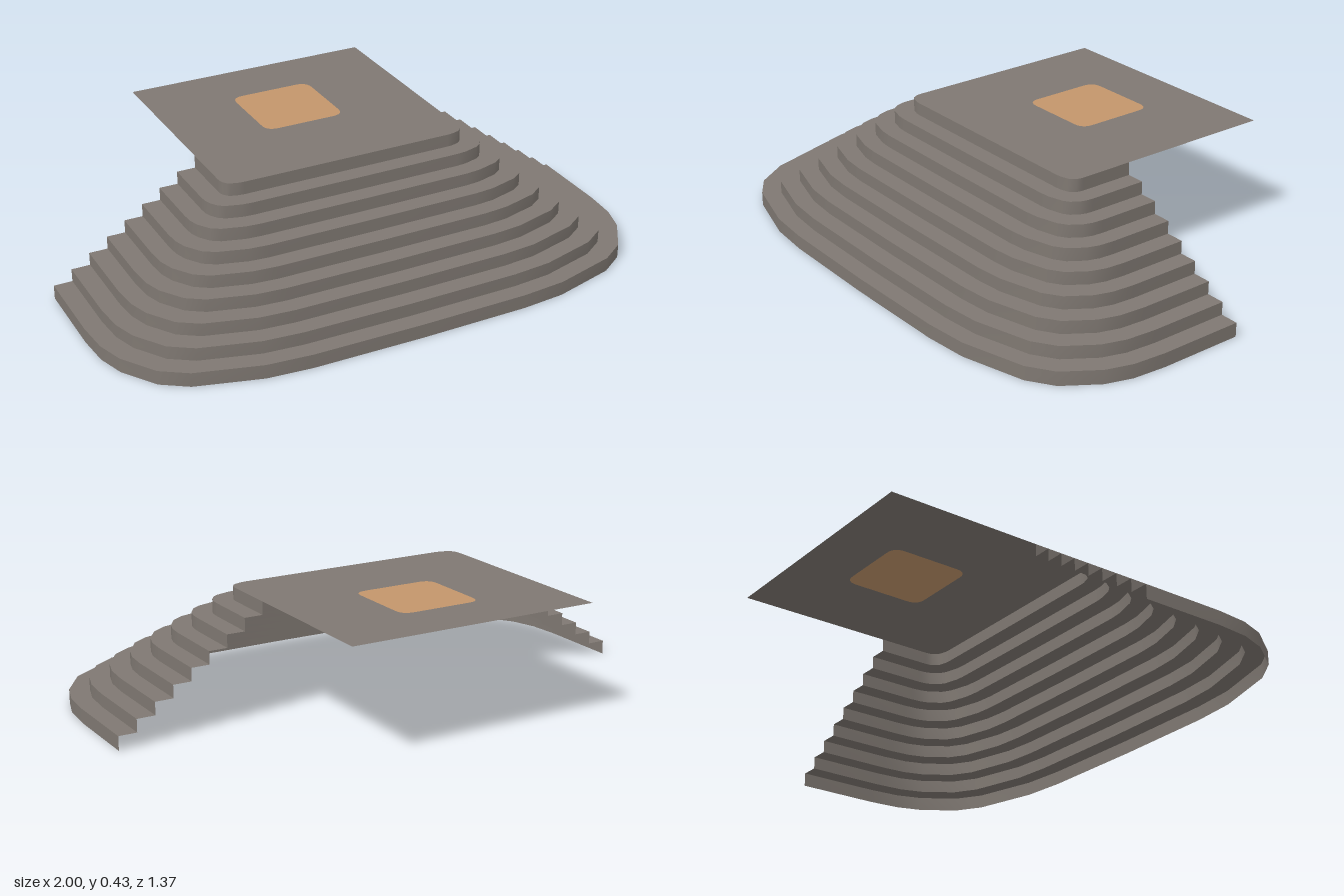
import * as THREE from 'three';

const LEVELS = 9, BACK = -0.105, PLATE_BACK = -0.69;

// Corner insets from the square corner [inward x, back z] of the lowest step
const CORNER = [[0, 0.48], [0.01, 0.36], [0.04, 0.265], [0.12, 0.145],
  [0.21, 0.085], [0.44, 0.02], [0.6, 0.005]];

// Plan outline of a step as [x, z], running right side -> front -> left side
function outline(level) {
  const t = level / (LEVELS - 1);
  const halfWidth = 1 - 0.535 * t;
  const front = 0.682 - 0.532 * t;
  const round = 1 - 0.88 * t;
  const half = [[halfWidth, BACK],
    ...CORNER.map(([dx, dz]) => [halfWidth - dx * round, front - dz * round])];
  const mirrored = half.map(([x, z]) => [-x, z]).reverse();
  return [...half, [0, front], ...mirrored];
}

// Open strip between two outlines at two heights
function strip(lower, y0, upper, y1) {
  const positions = [], index = [];
  lower.forEach(([x, z], i) => {
    positions.push(x, y0, z, upper[i][0], y1, upper[i][1]);
    if (i < lower.length - 1) {
      const a = 2 * i;
      index.push(a, a + 1, a + 2, a + 2, a + 1, a + 3);
    }
  });
  const geometry = new THREE.BufferGeometry();
  geometry.setAttribute('position', new THREE.Float32BufferAttribute(positions, 3));
  geometry.setIndex(index);
  geometry.computeVertexNormals();
  return geometry;
}

// Rounded square of the coloured inlay, in plan (shape y = -z)
function inlayOutline(target) {
  const cx = -0.007, cy = 0.322, h = 0.153, r = 0.045;
  target.moveTo(cx - h + r, cy - h);
  target.lineTo(cx + h - r, cy - h);
  target.quadraticCurveTo(cx + h, cy - h, cx + h, cy - h + r);
  target.lineTo(cx + h, cy + h - r);
  target.quadraticCurveTo(cx + h, cy + h, cx + h - r, cy + h);
  target.lineTo(cx - h + r, cy + h);
  target.quadraticCurveTo(cx - h, cy + h, cx - h, cy + h - r);
  target.lineTo(cx - h, cy - h + r);
  target.quadraticCurveTo(cx - h, cy - h, cx - h + r, cy - h);
  return target;
}

export function createModel() {
  const stone = new THREE.MeshStandardMaterial({ color: 0x7f7872, side: THREE.DoubleSide });
  stone.name = 'grey stone';
  const tan = new THREE.MeshStandardMaterial({ color: 0xc3956b, side: THREE.DoubleSide });
  tan.name = 'tan inlay';

  const model = new THREE.Group();
  model.name = 'steppedPlatform';
  const add = (name, geometry, material, parent = model) => {
    const mesh = new THREE.Mesh(geometry, material);
    mesh.name = name;
    parent.add(mesh);
    return mesh;
  };

  const top = (level) => 0.051 + 0.0468 * level;

  // Risers and treads, an open shell
  for (let i = 0; i < LEVELS; i++) {
    const step = new THREE.Group();
    step.name = `step${i + 1}`;
    model.add(step);
    const edge = outline(i);
    add('riser', strip(edge, i ? top(i - 1) : 0, edge, top(i)), stone, step);
    if (i < LEVELS - 1) {
      add('tread', strip(edge, top(i), outline(i + 1), top(i)), stone, step);
    }
  }

  // Thin landing reaching back beyond the steps, with the inlay set into it
  const edge = outline(LEVELS - 1);
  const w = edge[0][0];
  const plan = [[w, PLATE_BACK], ...edge, [-w, PLATE_BACK]]
    .map(([x, z]) => new THREE.Vector2(x, -z));
  const landing = new THREE.Shape(plan);
  landing.holes.push(inlayOutline(new THREE.Path()));
  const lay = (shape) => new THREE.ShapeGeometry(shape, 6)
    .rotateX(-Math.PI / 2).translate(0, top(LEVELS - 1), 0);
  add('landing', lay(landing), stone);
  add('inlay', lay(inlayOutline(new THREE.Shape())), tan);

  return model;
}
